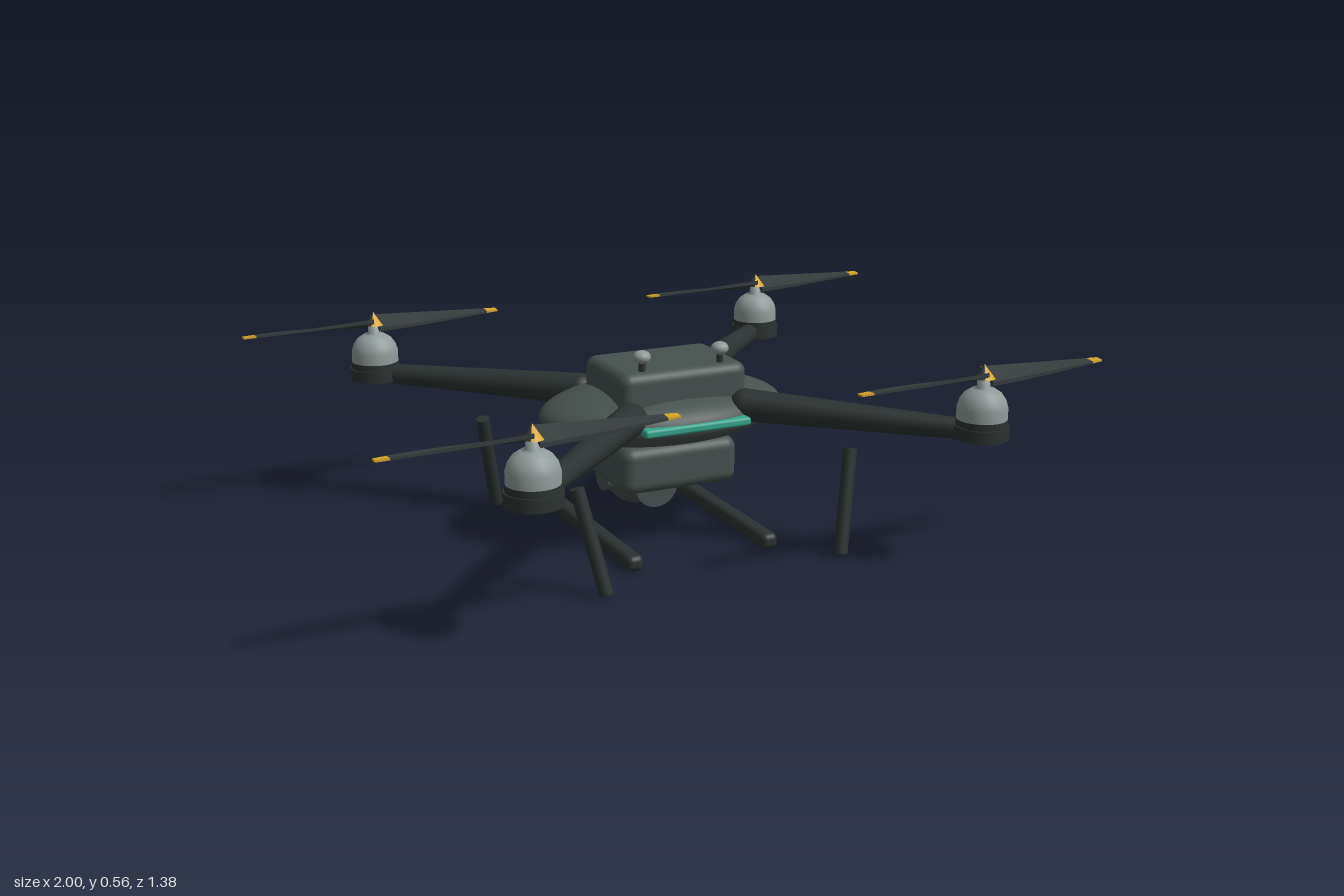
import * as THREE from 'three';
import { RoundedBoxGeometry } from 'three/addons/geometries/RoundedBoxGeometry.js';

const mat = (color) => new THREE.MeshStandardMaterial({ color });
const shell = mat(0x46514e);
const dark = mat(0x2b3231);
const metal = mat(0x8f9a98);
const blade = mat(0x363c3c);
const yellow = mat(0xd2a428);
const teal = mat(0x36a58c);
const V = (x, y, z) => new THREE.Vector3(x, y, z);

function add(parent, name, geometry, material, x = 0, y = 0, z = 0) {
  const mesh = new THREE.Mesh(geometry, material);
  mesh.name = name;
  mesh.position.set(x, y, z);
  parent.add(mesh);
  return mesh;
}

// Rounded box given by its limits on each axis
function block(parent, name, [x0, x1], [y0, y1], [z0, z1], r, material) {
  const g = new RoundedBoxGeometry(x1 - x0, y1 - y0, z1 - z0, 5, r);
  return add(parent, name, g, material, (x0 + x1) / 2, (y0 + y1) / 2, (z0 + z1) / 2);
}

// Tapered round bar between two points
function bar(parent, name, a, b, ra, rb, material) {
  const dir = b.clone().sub(a);
  const mesh = add(parent, name, new THREE.CylinderGeometry(rb, ra, dir.length(), 20), material);
  mesh.position.copy(a).addScaledVector(dir, 0.5);
  mesh.quaternion.setFromUnitVectors(V(0, 1, 0), dir.normalize());
  return mesh;
}

// Twisted blade piece along +x: straight leading edge, curved trailing edge
function bladeGeometry(x0, x1) {
  const g = new THREE.BoxGeometry(1, 1, 1, 10, 1, 2);
  const p = g.attributes.position;
  for (let i = 0; i < p.count; i++) {
    const x = x0 + (x1 - x0) * (p.getX(i) + 0.5);
    const t = x / 0.38;
    const lead = -0.034 + 0.006 * t;
    const trail = 0.03 - 0.036 * t * t;
    const z = lead + (trail - lead) * (p.getZ(i) + 0.5);
    const y = p.getY(i) * (0.012 - 0.007 * t) - z * 0.42 * (1 - 0.85 * t);
    p.setXYZ(i, x, y, z);
  }
  g.computeVertexNormals();
  return g;
}

function makeRotor() {
  const rotor = new THREE.Group();
  rotor.name = 'rotor';
  // Motor base, bell and shaft
  add(rotor, 'motorBase', new THREE.CylinderGeometry(0.072, 0.072, 0.034, 32), dark, 0, 0.38, 0);
  add(rotor, 'motorCollar', new THREE.CylinderGeometry(0.067, 0.067, 0.02, 32), dark, 0, 0.405, 0);
  const bell = [[0.066, 0.413], [0.066, 0.445], [0.06, 0.465], [0.048, 0.482], [0.03, 0.494], [0.017, 0.498], [0.017, 0.525], [0, 0.525]];
  add(rotor, 'motorBell', new THREE.LatheGeometry(bell.map(([r, y]) => new THREE.Vector2(r, y)), 32), metal);
  // Two blades with coloured tips
  for (const turn of [0, Math.PI]) {
    const side = new THREE.Group();
    side.name = 'propellerBlade';
    side.position.y = 0.524;
    side.rotation.y = turn;
    add(side, 'blade', bladeGeometry(0.008, 0.345), blade);
    add(side, 'bladeTip', bladeGeometry(0.345, 0.38), yellow);
    rotor.add(side);
  }
  // Pointed hub with a marker wedge
  add(rotor, 'hub', new THREE.ConeGeometry(0.028, 0.036, 20), dark, 0, 0.54, 0);
  add(rotor, 'hubMarker', new THREE.ConeGeometry(0.03, 0.037, 6, 1, false, -0.5, 1.3), yellow, 0, 0.54, 0);
  return rotor;
}

export function createModel() {
  const drone = new THREE.Group();
  drone.name = 'quadcopter';

  // Body
  add(drone, 'body', new THREE.SphereGeometry(1, 48, 32), shell, 0, 0.36, 0).scale.set(0.35, 0.085, 0.23);
  block(drone, 'topCover', [-0.185, 0.185], [0.38, 0.504], [-0.11, 0.157], 0.03, shell);
  block(drone, 'rearCover', [-0.133, 0.133], [0.37, 0.466], [-0.2, -0.02], 0.028, shell);
  block(drone, 'payloadBay', [-0.17, 0.17], [0.16, 0.29], [-0.15, 0.133], 0.032, shell);
  block(drone, 'frontLight', [-0.155, 0.155], [0.35, 0.373], [0.19, 0.235], 0.008, teal);

  // Antennas on the top cover
  for (const x of [-0.115, 0.115]) {
    add(drone, 'antennaStem', new THREE.CylinderGeometry(0.009, 0.009, 0.05, 12), dark, x, 0.515, 0.122);
    add(drone, 'antennaCap', new THREE.SphereGeometry(0.024, 20, 14), metal, x, 0.542, 0.122).scale.y = 0.75;
  }

  // Camera gimbal
  const cam = new THREE.Group();
  cam.name = 'camera';
  cam.position.set(0, 0.127, -0.173);
  drone.add(cam);
  add(cam, 'cameraBall', new THREE.SphereGeometry(0.092, 36, 24), shell);
  add(cam, 'cameraPivot', new THREE.CylinderGeometry(0.045, 0.045, 0.212, 28), shell).rotation.z = Math.PI / 2;
  add(cam, 'cameraBarrel', new THREE.CylinderGeometry(0.064, 0.064, 0.11, 32), shell, 0, -0.002, 0.088).rotation.x = Math.PI / 2;
  add(cam, 'gimbalMount', new THREE.CylinderGeometry(0.05, 0.05, 0.045, 28), metal, 0, 0.066, 0.04);
  add(cam, 'lensRing', new THREE.TorusGeometry(0.036, 0.009, 12, 32), dark, 0, 0, -0.083);
  add(cam, 'lens', new THREE.SphereGeometry(0.02, 20, 14), dark, 0, 0, -0.084).scale.z = 0.5;

  // Skids
  for (const x of [-0.2, 0.2]) block(drone, 'skid', [x - 0.024, x + 0.024], [0.002, 0.046], [-0.272, 0.272], 0.017, dark);

  // Arms, landing struts and rotors at the four corners
  for (const sx of [-1, 1]) {
    for (const sz of [-1, 1]) {
      bar(drone, 'arm', V(sx * 0.17, 0.389, sz * 0.17), V(sx * 0.635, 0.38, sz * 0.635), 0.045, 0.026, dark);
      add(drone, 'armRoot', new THREE.SphereGeometry(0.045, 20, 14), dark, sx * 0.17, 0.389, sz * 0.17);
      bar(drone, 'landingStrut', V(sx * 0.343, 0.012, sz * 0.398), V(sx * 0.397, 0.285, sz * 0.343), 0.019, 0.019, dark);
      const rotor = makeRotor();
      rotor.position.set(sx * 0.62, 0, sz * 0.62);
      drone.add(rotor);
    }
  }
  return drone;
}
